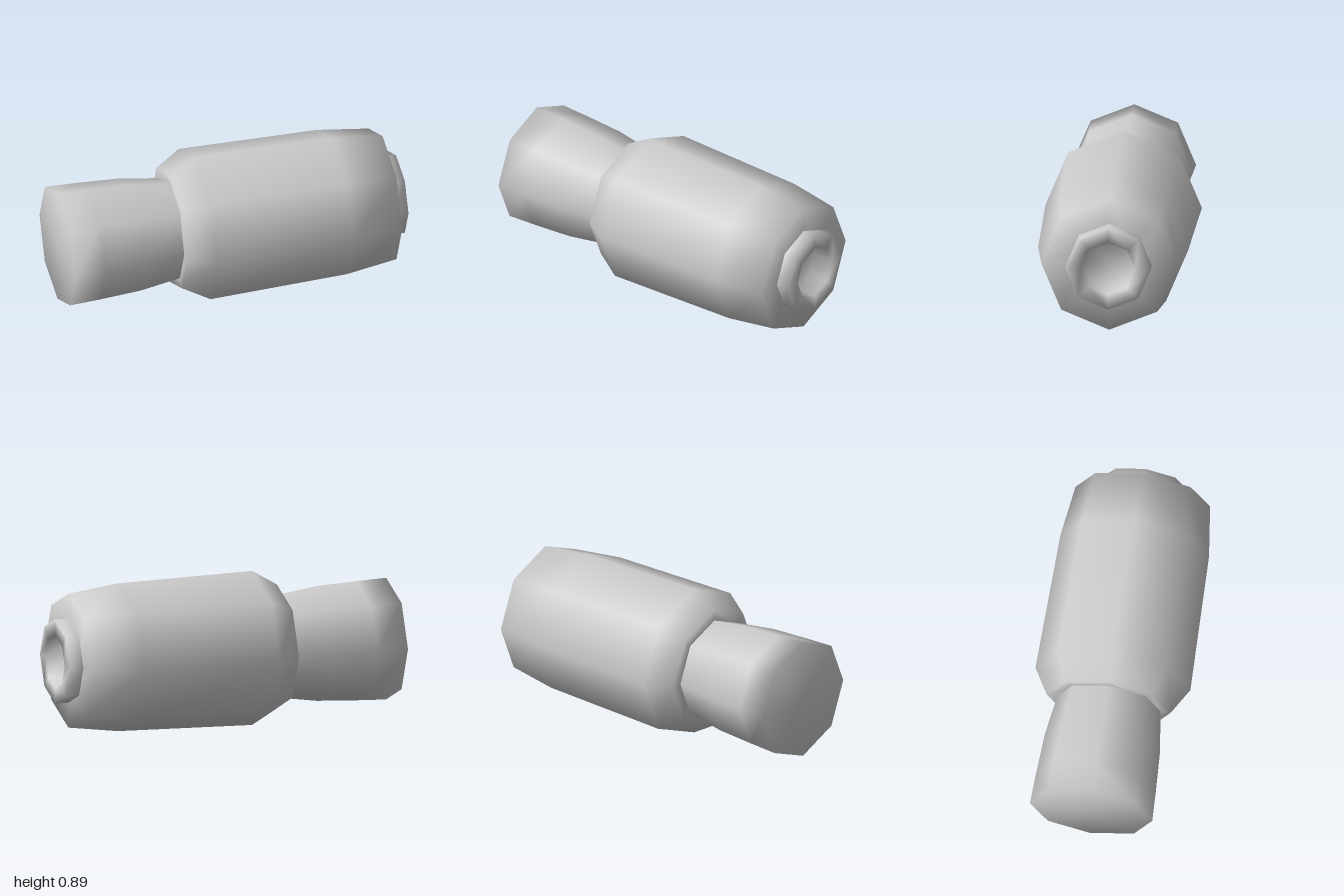
import * as THREE from 'three';

const SIDES = 8;
const AXIS_HEIGHT = 0.445;

// Turns a profile of [x, radius] pairs around the long axis
function turned(name, profile, material) {
  const points = profile.map(([x, r]) => new THREE.Vector2(r, x));
  const geometry = new THREE.LatheGeometry(points, SIDES);
  geometry.rotateZ(-Math.PI / 2);
  const mesh = new THREE.Mesh(geometry, material);
  mesh.name = name;
  mesh.position.y = AXIS_HEIGHT;
  return mesh;
}

export function createModel() {
  const material = new THREE.MeshStandardMaterial({ color: 0xcccccc });
  const model = new THREE.Group();
  model.name = 'model';

  // Flared rear stem with a flat end
  model.add(turned('stem', [
    [-1, 0], [-1, 0.35], [-0.82, 0.343], [-0.58, 0.33], [-0.34, 0.295],
  ], material));

  // Wide body with a bevelled shoulder and tapering front
  model.add(turned('body', [
    [-0.34, 0.29], [-0.34, 0.355], [-0.19, 0.443], [0.62, 0.425],
    [0.92, 0.385], [0.92, 0.155],
  ], material));

  // Front collar with a blind hole
  model.add(turned('collar', [
    [0.92, 0.242], [1, 0.242], [1, 0.155], [0.88, 0.155], [0.88, 0],
  ], material));

  return model;
}
